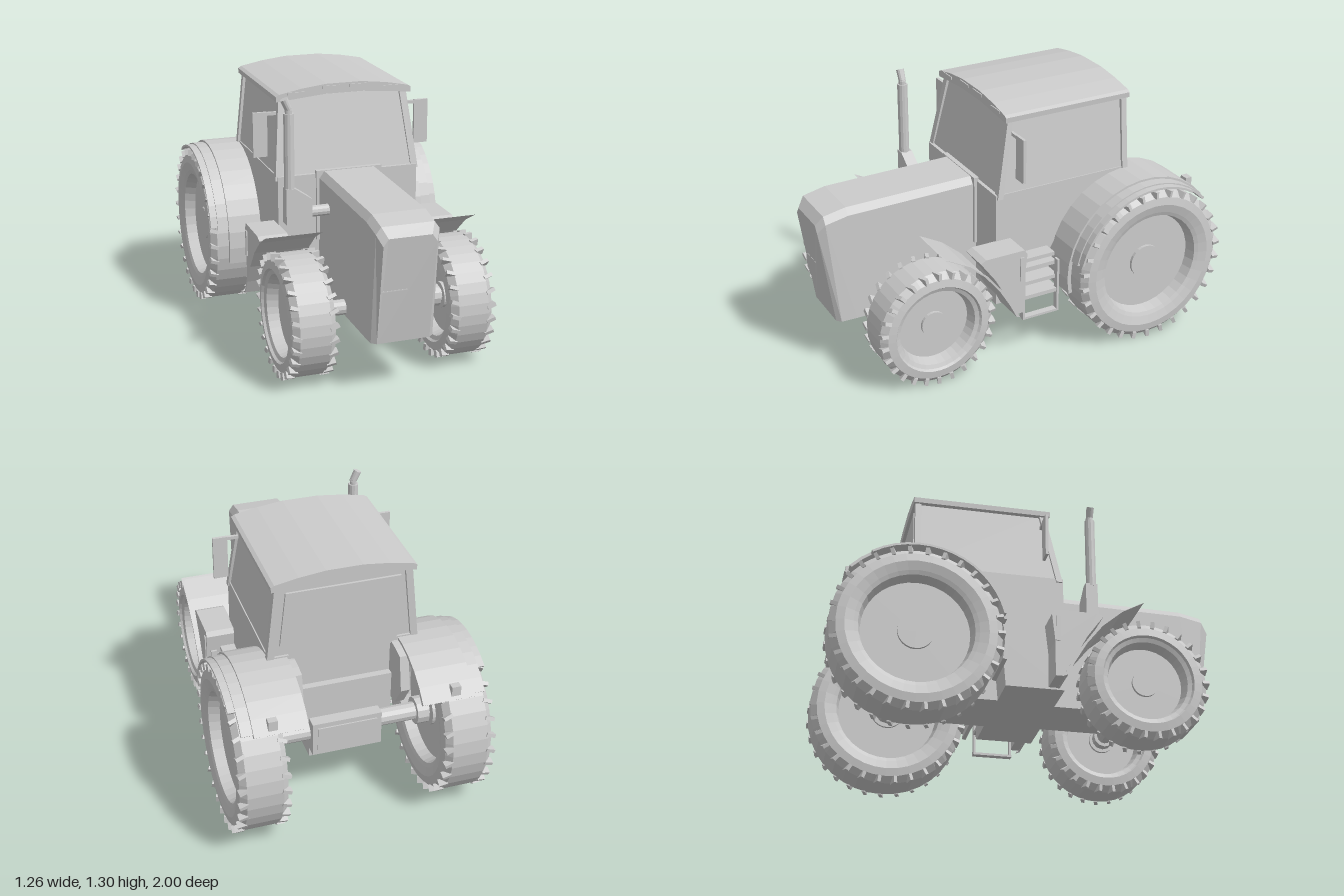
import * as THREE from 'three';

const mat = new THREE.MeshStandardMaterial({ color: 0xcccccc, flatShading: true, side: THREE.DoubleSide });

export function createModel() {
  const root = new THREE.Group();
  root.name = 'tractor';

  const add = (name, geo, parent = root) => {
    const m = new THREE.Mesh(geo, mat);
    m.name = name;
    parent.add(m);
    return m;
  };
  // box given by its limits
  const box = (name, x0, x1, y0, y1, z0, z1, parent) =>
    add(name, new THREE.BoxGeometry(Math.abs(x1 - x0), y1 - y0, z1 - z0)
      .translate((x0 + x1) / 2, (y0 + y1) / 2, (z0 + z1) / 2), parent);
  // side profile of [z, y] points, extruded across x
  const side = (name, pts, xa, xb) => {
    const shape = new THREE.Shape(pts.map(p => new THREE.Vector2(...p)));
    const geo = new THREE.ExtrudeGeometry(shape, { depth: Math.abs(xb - xa), bevelEnabled: false });
    return add(name, geo.rotateY(-Math.PI / 2).translate(Math.max(xa, xb), 0, 0));
  };
  // round rod between two points
  const rod = (name, a, b, r, r2 = r, sides = 12) => {
    const A = new THREE.Vector3(...a), B = new THREE.Vector3(...b), d = B.clone().sub(A);
    const m = add(name, new THREE.CylinderGeometry(r2, r, d.length(), sides));
    m.position.copy(A).add(B).multiplyScalar(0.5);
    m.quaternion.setFromUnitVectors(new THREE.Vector3(0, 1, 0), d.normalize());
    return m;
  };
  // solid through equal-length convex loops of [x, y, z]
  const loft = (name, loops) => {
    const n = loops[0].length, pos = loops.flat(2), idx = [], last = (loops.length - 1) * n;
    for (let i = 0; i < loops.length - 1; i++) for (let j = 0; j < n; j++) {
      const a = i * n + j, b = i * n + (j + 1) % n;
      idx.push(a, b, b + n, a, b + n, a + n);
    }
    for (let j = 1; j < n - 1; j++) idx.push(0, j + 1, j, last, last + j, last + j + 1);
    const g = new THREE.BufferGeometry();
    g.setAttribute('position', new THREE.Float32BufferAttribute(pos, 3));
    g.setIndex(idx);
    const flat = g.toNonIndexed();
    flat.computeVertexNormals();
    return add(name, flat);
  };
  // points along an arc in the side plane, angles in degrees from the front
  const arc = (cz, cy, r, a0, a1, n = 14) => Array.from({ length: n + 1 }, (_, i) => {
    const a = (a0 + (a1 - a0) * i / n) * Math.PI / 180;
    return [cz + r * Math.cos(a), cy + r * Math.sin(a)];
  });
  // curved strip between two arcs
  const band = (name, z, y, r0, r1, a0, a1, xa, xb) =>
    side(name, [...arc(z, y, r1, a0, a1), ...arc(z, y, r0, a1, a0)], xa, xb);

  // hood with sloping nose and chamfered top edges
  loft('hood', [[0.17, 0.155, 0.885, 0], [0.85, 0.155, 0.872, 0.02], [0.965, 0.153, 0.848, 0.055], [1, 0.13, 0.8, 0.07]]
    .map(([z, w, top, lean]) => [
      [-w, 0.27, z - lean], [w, 0.27, z - lean], [w, top - 0.035, z], [w - 0.025, top, z],
      [-w + 0.025, top, z], [-w, top - 0.035, z]]));
  box('hoodSurround', -0.17, 0.17, 0.53, 0.888, 0.16, 0.185);
  box('grilleSeam', -0.128, 0.128, 0.535, 0.54, 0.955, 0.967);

  // lower body: cab base, gearbox and rear block
  side('cabBase', [[0.17, 0.27], [0.17, 0.87], [-0.575, 0.87], [-0.575, 0.84], [-0.46, 0.83],
    [-0.32, 0.75], [-0.2, 0.62], [-0.14, 0.51], [-0.12, 0.27]], -0.365, 0.365);
  box('gearbox', -0.175, 0.175, 0.27, 0.52, -0.6, -0.1);
  box('rearBody', -0.24, 0.24, 0.48, 0.68, -0.6, -0.12);
  box('rearWall', -0.28, 0.28, 0.6, 0.87, -0.565, -0.4);
  box('hitchBlock', -0.175, 0.175, 0.32, 0.5, -0.66, -0.58);
  box('hitchPanel', -0.15, 0.15, 0.345, 0.475, -0.667, -0.65);

  // glazed cab, tapering towards the roof
  const cabLoop = (y, w, front, inset) => [
    [-w + 0.03, y, front - inset], [w - 0.03, y, front - inset], [w - inset, y, front - 0.03],
    [w - inset, y, -0.575 + inset], [-w + inset, y, -0.575 + inset], [-w + inset, y, front - 0.03]];
  loft('cabGlass', [cabLoop(0.865, 0.372, 0.165, 0.012), cabLoop(1.245, 0.33, 0.085, 0.012)]);
  for (const s of [1, -1]) {
    // pillars lean inward with the glass
    const pillar = (name, zb, zt, d) => loft(name, [[0.85, 0.375, zb], [1.245, 0.333, zt]].map(([y, w, z]) => {
      const xs = [s * w, s * (w - 0.035)].sort((a, b) => a - b);
      return [[xs[0], y, z], [xs[1], y, z], [xs[1], y, z - d], [xs[0], y, z - d]];
    }));
    pillar('frontPillar', 0.165, 0.088, 0.03);
    pillar('rearPillar', -0.548, -0.548, 0.03);
  }
  // rear window with narrowed lower edge
  const pane = new THREE.Shape([[-0.28, 1.21], [-0.31, 0.93], [-0.24, 0.84], [0.24, 0.84], [0.31, 0.93], [0.28, 1.21]]
    .map(p => new THREE.Vector2(...p)));
  add('rearWindow', new THREE.ExtrudeGeometry(pane, { depth: 0.012, bevelEnabled: false }).translate(0, 0, -0.578));

  // arched roof
  const roof = [[0.35, 1.232], [0.352, 1.258], [0.335, 1.268], [0.22, 1.29], [0.09, 1.305]];
  const roofShape = new THREE.Shape([...roof, ...roof.slice().reverse().map(([x, y]) => [-x, y]),
    [-0.1, 1.255], [0.1, 1.255]].map(p => new THREE.Vector2(...p)));
  add('roof', new THREE.ExtrudeGeometry(roofShape, { depth: 0.695, bevelEnabled: false }).translate(0, 0, -0.585));
  for (const x of [-0.25, -0.07, 0.07, 0.25])
    box('roofLamp', x - 0.045, x + 0.045, x * x > 0.01 ? 1.262 : 1.28, x * x > 0.01 ? 1.275 : 1.295, 0.1, 0.115);

  // wheels: dished lathe tyre and rim, hub, shoulder lugs
  const wheel = (name, s, cx, y, z, R, w, rim, hub, lugs) => {
    const g = new THREE.Group();
    g.name = name;
    g.position.set(s * cx, y, z);
    root.add(g);
    const h = w / 2;
    const half = [[R, h - 0.035], [R - 0.03, h - 0.006], [R - 0.07, h], [rim + 0.02, h - 0.012],
      [rim, h - 0.02], [rim - 0.015, h - 0.075], [0, h - 0.075]];
    const prof = [...half.slice().reverse().map(([r, x]) => [r, -x]), ...half].map(p => new THREE.Vector2(...p));
    add('tyreAndRim', new THREE.LatheGeometry(prof, 36).rotateZ(-Math.PI / 2), g);
    add('hub', new THREE.CylinderGeometry(hub, hub, w - 0.12, 24).rotateZ(-Math.PI / 2), g);
    for (let i = 0; i < lugs; i++) for (const e of [1, -1]) {
      const lug = add('treadLug', new THREE.BoxGeometry(0.045, 0.035, 0.018)
        .rotateY(e * 0.35).translate(e * (h - 0.02), R - 0.012, 0), g);
      lug.rotation.x = (i + (e > 0 ? 0 : 0.5)) / lugs * Math.PI * 2;
    }
  };

  for (const s of [1, -1]) {
    wheel('rearWheel', s, 0.503, 0.415, -0.585, 0.405, 0.245, 0.272, 0.086, 30);
    wheel('frontWheel', s, 0.393, 0.308, 0.55, 0.298, 0.222, 0.2, 0.065, 26);
    rod('rearAxle', [s * 0.1, 0.415, -0.585], [s * 0.47, 0.415, -0.585], 0.045);
    rod('rearAxleFlange', [s * 0.37, 0.415, -0.585], [s * 0.43, 0.415, -0.585], 0.07);
    rod('frontAxle', [s * 0.1, 0.31, 0.55], [s * 0.36, 0.31, 0.55], 0.038);
    rod('frontAxleFlange', [s * 0.285, 0.31, 0.55], [s * 0.33, 0.31, 0.55], 0.055);

    // rear fender: main band, lower outer flare, inner wall, lamp
    band('rearFender', -0.585, 0.42, 0.425, 0.445, -12, 140, s * 0.275, s * 0.535);
    band('rearFenderFlare', -0.585, 0.42, 0.42, 0.434, 12, 138, s * 0.53, s * 0.59);
    band('rearFenderEdge', -0.585, 0.42, 0.416, 0.427, 14, 122, s * 0.585, s * 0.625);
    side('rearFenderWall', [...arc(-0.585, 0.42, 0.43, 5, 105), [-0.73, 0.66], [-0.66, 0.55], [-0.3, 0.5]], s * 0.24, s * 0.285);
    box('rearLamp', s * 0.42, s * 0.465, 0.72, 0.77, -0.915, -0.88);

    // front fender: thin curved sheet with an outer lip
    const curve = [[0.53, 0.695], [0.42, 0.635], [0.32, 0.55], [0.24, 0.45], [0.18, 0.35], [0.145, 0.28]];
    const sheet = (name, t, xa, xb) =>
      side(name, [...curve, ...curve.slice().reverse().map(([z, y]) => [z - t * 0.7, y - t * 0.3])], xa, xb);
    sheet('frontFender', 0.016, s * 0.255, s * 0.53);
    sheet('frontFenderLip', 0.03, s * 0.518, s * 0.533);

    // side locker behind the front wheel
    side('sideLocker', [[0.33, 0.61], [0.3, 0.625], [0.09, 0.625], [0.075, 0.6], [0.09, 0.46], [0.09, 0.28],
      [0.14, 0.28], [0.2, 0.41], [0.25, 0.5]], s * 0.36, s * 0.51);
    box('lockerHandle', s * 0.505, s * 0.516, 0.46, 0.59, 0.095, 0.115);

    // mirror on a short arm
    box('mirror', s * 0.387, s * 0.46, 0.953, 1.178, 0.06, 0.075);
    box('mirrorArm', s * 0.33, s * 0.392, 1.16, 1.176, 0.06, 0.075);
  }

  // entry steps on the left with an open bottom rung
  [0.53, 0.49, 0.42, 0.35].forEach((y, i) =>
    box('step', 0.35, 0.44 + i * 0.015, y - 0.02, y, -0.12, 0.085));
  box('stepBack', 0.355, 0.385, 0.28, 0.53, -0.12, 0.085);
  for (const z of [-0.12, 0.073]) box('stepRail', 0.46, 0.49, 0.22, 0.51, z, z + 0.012);
  box('bottomRung', 0.455, 0.49, 0.22, 0.232, -0.12, 0.085);

  // exhaust stack on the right
  const foot = new THREE.Shape([[-0.375, 0.68], [-0.375, 0.86], [-0.33, 0.86], [-0.245, 0.8], [-0.245, 0.66], [-0.3, 0.66]]
    .map(p => new THREE.Vector2(...p)));
  add('exhaustFoot', new THREE.ExtrudeGeometry(foot, { depth: 0.06, bevelEnabled: false }).translate(0, 0, 0.285));
  rod('exhaustFeed', [-0.26, 0.73, 0.315], [-0.14, 0.73, 0.315], 0.028);
  rod('exhaustStack', [-0.352, 0.85, 0.318], [-0.352, 1.228, 0.318], 0.026);
  rod('exhaustPipe', [-0.352, 1.22, 0.318], [-0.352, 1.255, 0.318], 0.018);
  rod('exhaustTip', [-0.348, 1.24, 0.318], [-0.374, 1.298, 0.318], 0.018, 0.02);

  return root;
}
